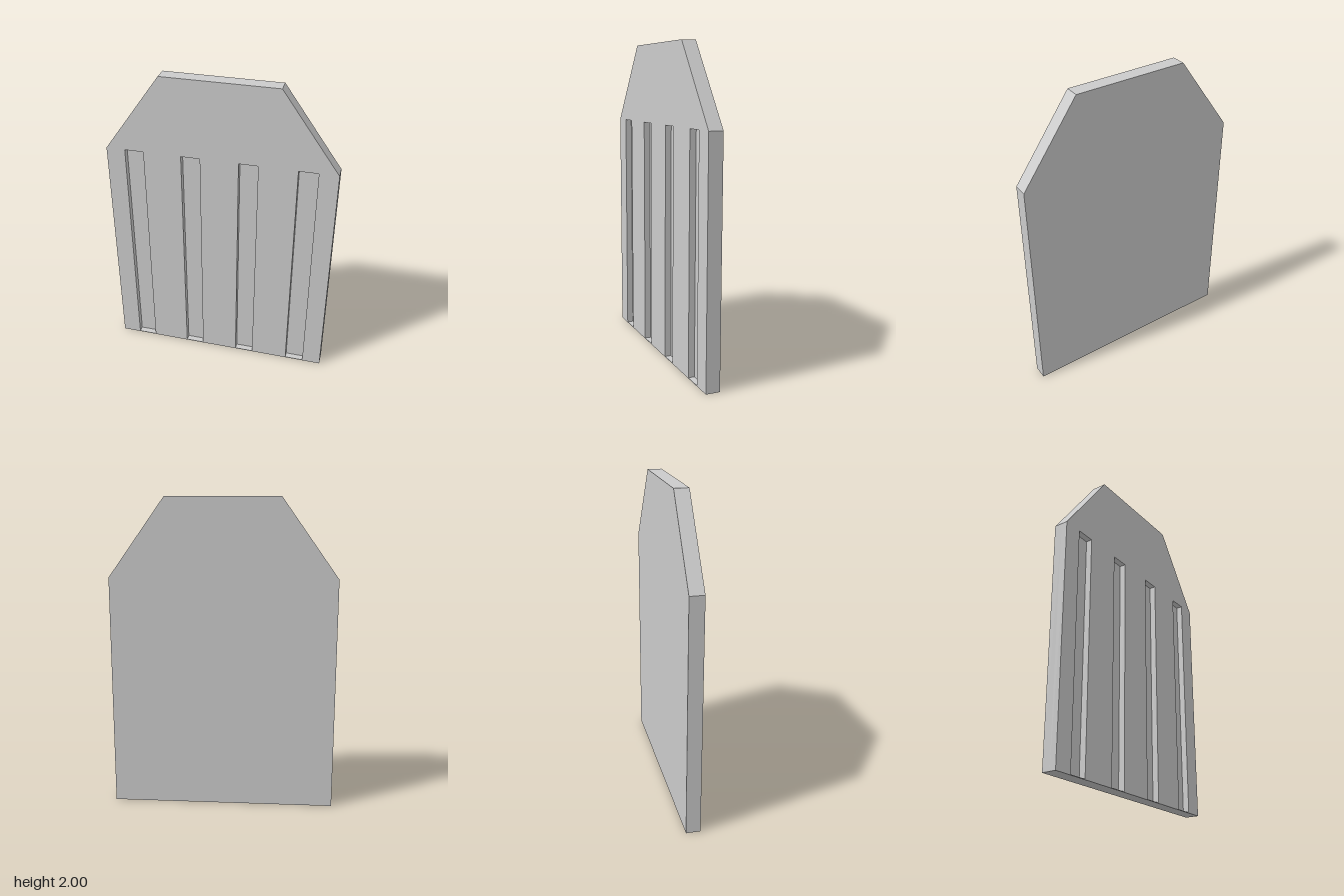
import * as THREE from 'three';

const HALF_WIDTH = 0.72, SHOULDER = 1.5, HEIGHT = 2, TOP_HALF = 0.36;
const THICKNESS = 0.09, GROOVE_DEPTH = 0.04, GROOVE_WIDTH = 0.12, LIP = 0.004;

// Closed polygon from corner points
const polygon = (points, Type = THREE.Shape) =>
  new Type(points.map(([x, y]) => new THREE.Vector2(x, y)));

// Slab outline: straight sides with clipped upper corners
const outline = () => polygon([
  [-HALF_WIDTH, 0], [HALF_WIDTH, 0], [HALF_WIDTH, SHOULDER],
  [TOP_HALF, HEIGHT], [-TOP_HALF, HEIGHT], [-HALF_WIDTH, SHOULDER],
]);

export function createModel() {
  const group = new THREE.Group();
  group.name = 'groovedPanel';
  const material = new THREE.MeshStandardMaterial({ color: 0xcccccc, flatShading: true });

  const addLayer = (name, shape, z, depth) => {
    const geometry = new THREE.ExtrudeGeometry(shape, { depth, bevelEnabled: false });
    const mesh = new THREE.Mesh(geometry, material);
    mesh.name = name;
    mesh.position.z = z;
    group.add(mesh);
  };

  // Solid back, which forms the floors of the grooves
  const backDepth = THICKNESS - GROOVE_DEPTH;
  addLayer('backPanel', outline(), -THICKNESS / 2, backDepth);

  // Front layer cut by four upright grooves, closed by a thin lip at the foot
  const front = outline();
  for (const x of [-0.54, -0.18, 0.18, 0.54]) {
    const l = x - GROOVE_WIDTH / 2, r = x + GROOVE_WIDTH / 2;
    front.holes.push(polygon([[l, LIP], [l, SHOULDER], [r, SHOULDER], [r, LIP]], THREE.Path));
  }
  addLayer('groovedFront', front, -THICKNESS / 2 + backDepth, GROOVE_DEPTH);

  return group;
}
